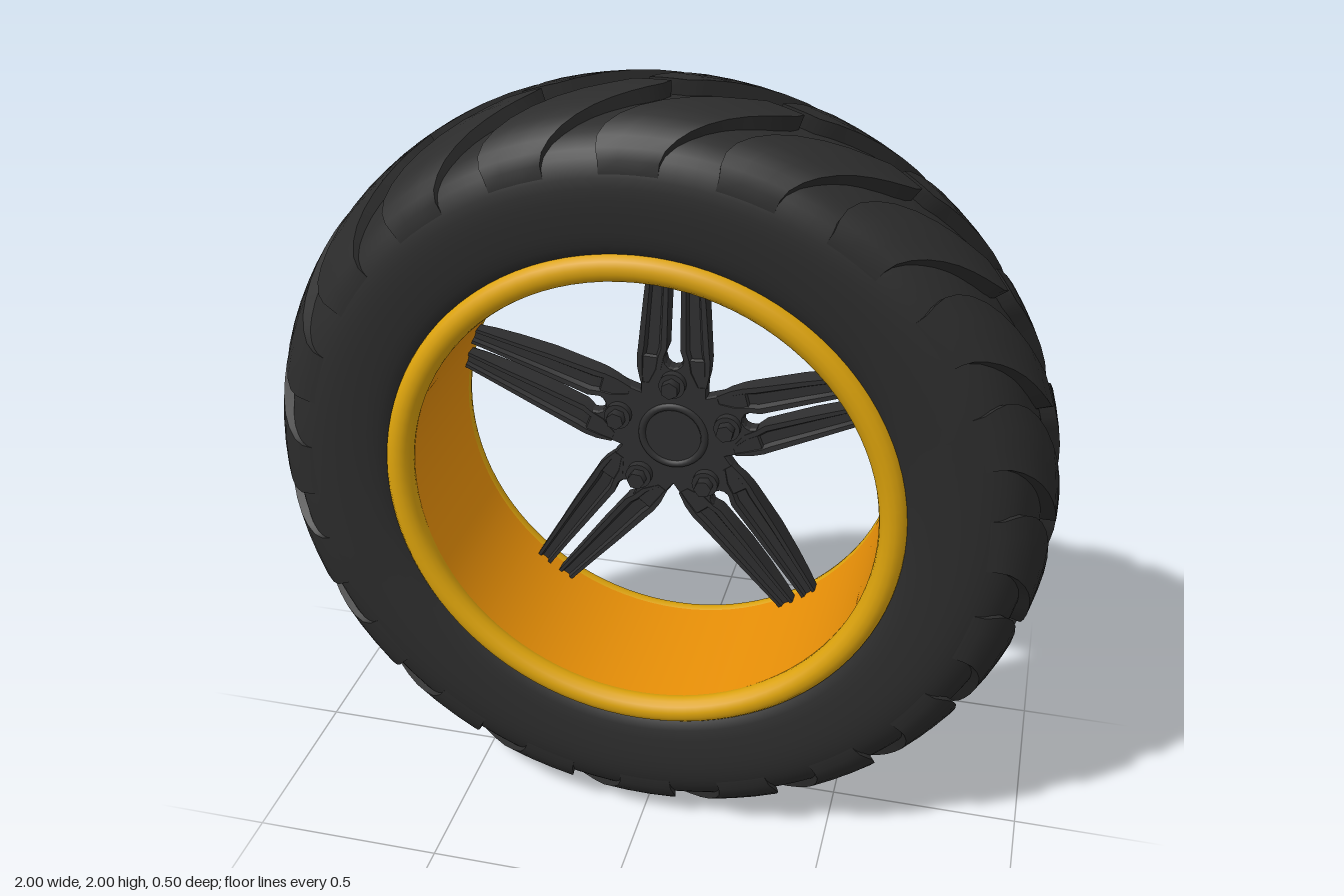
import * as THREE from 'three';
import { toCreasedNormals } from 'three/addons/utils/BufferGeometryUtils.js';

const paint = (name, color) => Object.assign(new THREE.MeshStandardMaterial({ color }), { name });
const DEG = Math.PI / 180;

// Closed solid skinned over rings of [x, y, z] points; turned outward by its signed volume
function loft(rings, crease = 0.5) {
  const n = rings[0].length, last = (rings.length - 1) * n, tris = [];
  for (let i = 0; i < rings.length - 1; i++)
    for (let j = 0; j < n; j++) {
      const a = i * n + j, b = i * n + (j + 1) % n;
      tris.push([a, b, b + n], [a, b + n, a + n]);
    }
  for (let j = 1; j < n - 1; j++) tris.push([0, j + 1, j], [last, last + j, last + j + 1]);
  const pts = rings.flat().map(p => new THREE.Vector3(...p));
  const mid = pts.reduce((s, p) => s.add(p), new THREE.Vector3()).divideScalar(pts.length);
  const rel = pts.map(p => p.clone().sub(mid));
  const volume = tris.reduce((s, [a, b, c]) => s + rel[a].dot(rel[b].clone().cross(rel[c])), 0);
  const g = new THREE.BufferGeometry().setFromPoints(pts);
  g.setIndex(tris.flatMap(([a, b, c]) => volume > 0 ? [a, b, c] : [a, c, b]));
  return toCreasedNormals(g, crease);
}

export function createModel() {
  const rubber = paint('black rubber', 0x2b2b2b);
  const metal = paint('dark grey metal', 0x2e2e2f);
  const gold = paint('golden yellow', 0xdba20c);
  const orange = paint('orange', 0xf29608);
  orange.side = THREE.DoubleSide;

  const model = new THREE.Group();
  model.name = 'wheel';
  const wheel = new THREE.Group();
  wheel.name = 'wheelAssembly';
  wheel.position.y = 1;
  model.add(wheel);
  const add = (name, geometry, material, parent = wheel) => {
    const mesh = new THREE.Mesh(geometry, material);
    mesh.name = name;
    parent.add(mesh);
    return mesh;
  };
  const curve = pts => new THREE.CatmullRomCurve3(pts.map(([z, r]) => new THREE.Vector3(z, r, 0)));

  // Tyre carcass: half profile [z, radius] mirrored, then turned about z
  const half = [[0.2, 0.63], [0.232, 0.67], [0.246, 0.74], [0.248, 0.81], [0.236, 0.865],
    [0.207, 0.91], [0.16, 0.94], [0.1, 0.957], [0, 0.963]];
  const side = curve(half).getPoints(20).map(p => new THREE.Vector2(p.y, p.x));
  const profile = [...side, ...side.slice(0, -1).reverse().map(p => new THREE.Vector2(p.x, -p.y))];
  const tyre = new THREE.LatheGeometry(profile.reverse(), 120);
  add('tyre', tyre.rotateX(Math.PI / 2), rubber);

  // Swept tread lugs: narrow at the centre line, turning radial as they fade on the sidewall
  const top = curve([[0.008, 1], [0.07, 0.996], [0.13, 0.98], [0.19, 0.947], [0.232, 0.893],
    [0.243, 0.825]]).getPoints(12);
  const base = curve([[0.008, 0.95], [0.07, 0.946], [0.125, 0.93], [0.18, 0.89], [0.215, 0.85],
    [0.228, 0.815]]).getPoints(12);
  const lugRings = top.map((p, i) => {
    const t = i / 12, q = base[i];
    const centre = 1 + 18 * Math.pow(Math.sin(Math.min(1, t / 0.8) * Math.PI / 2), 1.3);
    const halfWidth = 2.6 + 3.4 * Math.sin(Math.PI * Math.min(0.8, t));
    const at = (pt, k) => {
      const a = (centre + k * halfWidth) * DEG;
      return [pt.y * Math.cos(a), pt.y * Math.sin(a), pt.x];
    };
    return [at(q, -1), at(p, -1), at(p, -0.33), at(p, 0.33), at(p, 1), at(q, 1)];
  });
  const lug = loft(lugRings, 0.6);
  for (const name of ['frontTread', 'backTread']) {
    const tread = new THREE.Group();
    tread.name = name;
    if (name === 'backTread') tread.rotation.x = Math.PI;
    wheel.add(tread);
    for (let k = 0; k < 20; k++) add('treadLug', lug, rubber, tread).rotation.z = k * 18 * DEG;
  }

  // Rim: barrel and a rounded lip on both sides
  add('rimBarrel', new THREE.CylinderGeometry(0.592, 0.592, 0.43, 96, 1, true).rotateX(Math.PI / 2), orange);
  for (const s of [1, -1])
    add('rimLip', new THREE.TorusGeometry(0.624, 0.035, 14, 96), gold).position.z = s * 0.215;

  // Hub star with a rounded notch between the two arms of each spoke
  const outline = [];
  for (let k = 0; k < 5; k++) {
    const a = (90 + 72 * k) * DEG;
    const local = (u, v) => outline.push(new THREE.Vector2(
      u * Math.cos(a) - v * Math.sin(a), u * Math.sin(a) + v * Math.cos(a)));
    local(0.145 * Math.cos(36 * DEG), -0.145 * Math.sin(36 * DEG));
    local(0.225, -0.085);
    for (let j = 0; j <= 6; j++) {
      const b = j / 6 * Math.PI;
      local(0.222 - 0.03 * Math.sin(b), -0.028 * Math.cos(b));
    }
    local(0.225, 0.085);
  }
  const hub = new THREE.ExtrudeGeometry(new THREE.Shape(outline),
    { depth: 0.03, bevelEnabled: true, bevelThickness: 0.006, bevelSize: 0.004, bevelSegments: 1 });
  add('hub', hub, metal).position.z = -0.176;
  const disc = (name, r, z0, z1, parent, sides = 32) => {
    const mesh = add(name, new THREE.CylinderGeometry(r, r, z1 - z0, sides).rotateX(Math.PI / 2), metal, parent);
    mesh.position.z = (z0 + z1) / 2;
    return mesh;
  };
  disc('hubCap', 0.075, -0.188, -0.138, wheel);
  for (const z of [-0.183, -0.143])
    add('hubRing', new THREE.TorusGeometry(0.085, 0.011, 8, 40), metal).position.z = z;

  // Spoke arm: ridged cross-sections at [radius, inner edge, outer edge, back z, front z]
  const stations = [[0.15, 0.06, 0.088, -0.183, -0.138], [0.19, 0.034, 0.096, -0.191, -0.137],
    [0.225, 0.027, 0.097, -0.2, -0.137], [0.25, 0.018, 0.094, -0.207, -0.138],
    [0.38, 0.017, 0.082, -0.225, -0.147], [0.48, 0.017, 0.071, -0.226, -0.152],
    [0.55, 0.016, 0.064, -0.219, -0.156], [0.598, 0.015, 0.059, -0.208, -0.158]];
  const arm = s => loft(stations.map(([r, a, b, back, front]) => {
    const w = b - a;
    return [[a, front], [a + 0.2 * w, front], [a + 0.3 * w, front - 0.012], [b - 0.3 * w, front - 0.012],
      [b - 0.2 * w, front], [b, front], [b, back + 0.018], [b - 0.2 * w, back], [b - 0.35 * w, back],
      [b - 0.42 * w, back + 0.01], [a + 0.42 * w, back + 0.01], [a + 0.35 * w, back],
      [a + 0.2 * w, back], [a, back + 0.018]].map(([x, z]) => [s * x, r, z]);
  }), 0.35);
  const arms = [arm(1), arm(-1)];
  for (let k = 0; k < 5; k++) {
    const spoke = new THREE.Group();
    spoke.name = 'spoke';
    spoke.rotation.z = 72 * k * DEG;
    wheel.add(spoke);
    for (const g of arms) add('spokeArm', g, metal, spoke);
    // Wheel bolt with its collar
    disc('boltCollar', 0.035, -0.15, -0.118, spoke, 20).position.y = 0.155;
    disc('bolt', 0.024, -0.189, -0.09, spoke, 6).position.y = 0.155;
    add('boltSeat', new THREE.TorusGeometry(0.033, 0.006, 6, 20), metal, spoke).position.set(0, 0.155, -0.182);
  }
  return model;
}
